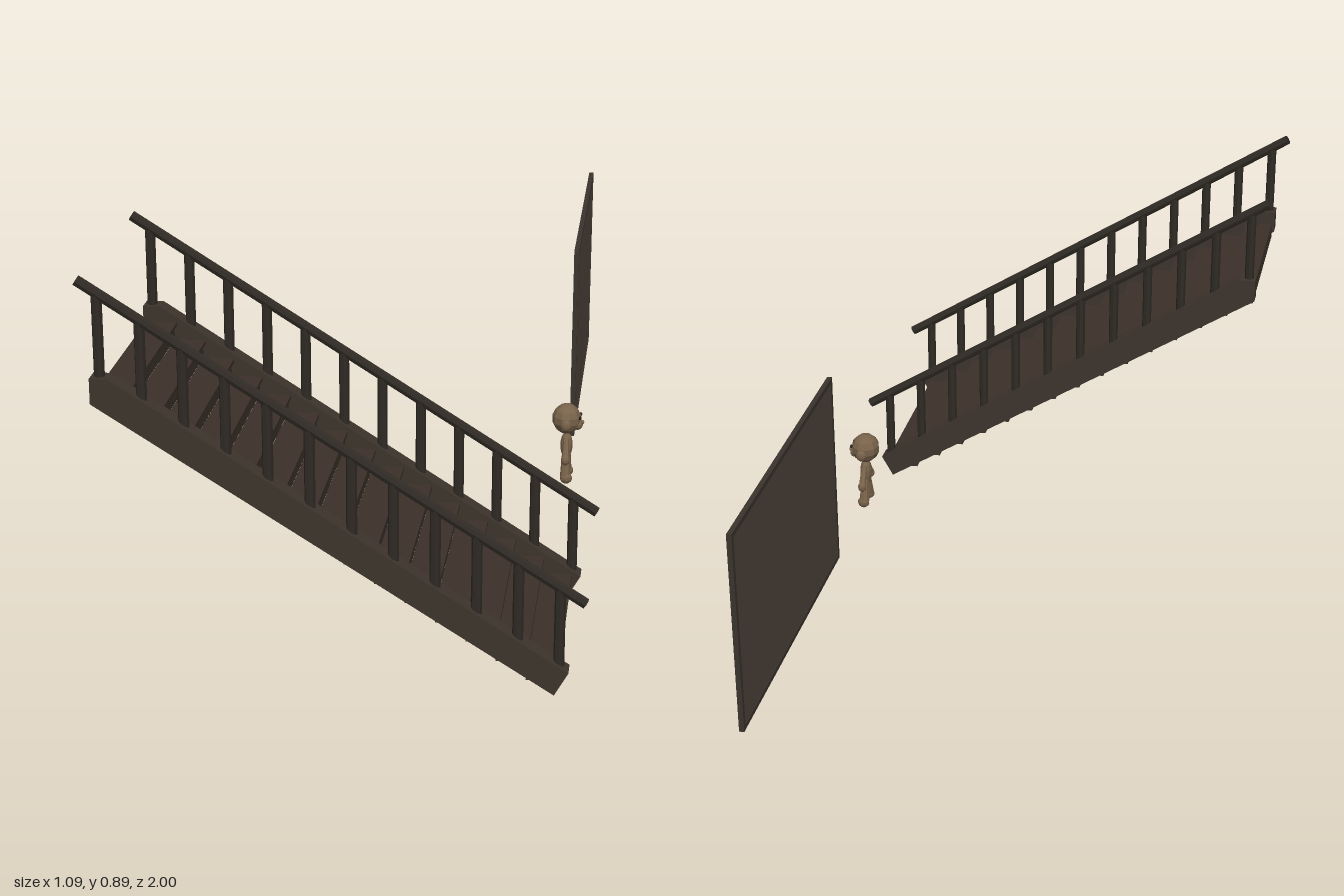
import * as THREE from 'three';

const mat = (color, flatShading = true) => {
  const m = new THREE.MeshStandardMaterial({ color });
  m.flatShading = flatShading;
  return m;
};
const WOOD = mat(0x3d342c), DARK = mat(0x2f2a24), TREAD = mat(0x3b3029);
const PANEL = mat(0x51473d), FRAME = mat(0x3b342d);
const BODY = mat(0x78624a), EYE = mat(0x2a2018);

function add(parent, name, geometry, material, x = 0, y = 0, z = 0) {
  const mesh = new THREE.Mesh(geometry, material);
  mesh.name = name;
  mesh.position.set(x, y, z);
  parent.add(mesh);
  return mesh;
}

// Tapered round bar between two points
function bar(parent, name, a, b, r0, r1, material, sides = 8) {
  const from = new THREE.Vector3(...a), to = new THREE.Vector3(...b);
  const dir = to.clone().sub(from);
  const mesh = add(parent, name, new THREE.CylinderGeometry(r1, r0, dir.length(), sides), material);
  mesh.position.copy(from).add(to).multiplyScalar(0.5);
  mesh.quaternion.setFromUnitVectors(new THREE.Vector3(0, 1, 0), dir.normalize());
  return mesh;
}

function createStairs() {
  const stairs = new THREE.Group();
  stairs.name = 'staircase';
  const sides = [0.486, 0.979], midZ = 0.7325, width = 0.47;

  // Fifteen solid steps, each with a thin overhanging tread
  for (let i = 0; i < 15; i++) {
    const x = -0.506 + i * 0.0656, bottom = 0.6 - i * 0.0414;
    add(stairs, 'riser', new THREE.BoxGeometry(0.0656, 0.032, width), WOOD, x + 0.0328, bottom + 0.016, midZ);
    add(stairs, 'tread', new THREE.BoxGeometry(0.0716, 0.009, width), TREAD, x + 0.0358, bottom + 0.0365, midZ);
  }

  // Sloping side boards
  const outline = new THREE.Shape([[-0.513, 0.62], [0.475, 0.004], [0.505, 0.058], [-0.473, 0.677], [-0.513, 0.677]]
    .map(([x, y]) => new THREE.Vector2(x, y)));
  const board = new THREE.ExtrudeGeometry(outline, { depth: 0.042, bevelEnabled: false });
  board.translate(0, 0, -0.021);

  const railY = x => 0.55 - x * 0.626;
  for (const z of sides) {
    add(stairs, 'stringer', board, WOOD, 0, 0, z);
    bar(stairs, 'handrail', [-0.537, railY(-0.537), z], [0.537, railY(0.537), z], 0.0125, 0.0125, DARK);
    for (let i = 0; i < 12; i++) {
      const x = -0.495 + i * 0.0889;
      bar(stairs, 'baluster', [x, 0.35 - x * 0.63, z], [x, railY(x), z], 0.0118, 0.0118, DARK);
    }
  }
  return stairs;
}

// Thin upright panel with a narrow border
function createPanel() {
  const panel = new THREE.Group();
  panel.name = 'wallPanel';
  const w = 0.788, h = 0.503, t = 0.012;
  add(panel, 'panelSheet', new THREE.BoxGeometry(0.008, h - t, w - t), PANEL);
  for (const s of [-1, 1]) {
    add(panel, 'frameRail', new THREE.BoxGeometry(0.012, t, w), FRAME, 0, s * (h - t) / 2, 0);
    add(panel, 'frameStile', new THREE.BoxGeometry(0.012, h - 2 * t, t), FRAME, 0, 0, s * (w - t) / 2);
  }
  panel.position.set(0.443, 0.3785, -0.606);
  return panel;
}

// Small figure facing +x
function createFigure() {
  const figure = new THREE.Group();
  figure.name = 'figure';
  const ball = (name, r, x, y, z, sx, sy, sz, material = BODY) => {
    const m = add(figure, name, new THREE.SphereGeometry(r, 10, 7), material, x, y, z);
    m.scale.set(sx, sy, sz);
    return m;
  };
  ball('head', 0.038, -0.001, 0.288, 0, 0.96, 1, 1.02);
  ball('muzzle', 0.018, 0.026, 0.274, 0, 0.75, 0.75, 1.1);
  ball('nose', 0.006, 0.038, 0.28, 0, 0.8, 0.8, 1);
  ball('torso', 0.022, 0, 0.218, 0, 0.7, 1.6, 0.85);
  for (const s of [-1, 1]) {
    ball('ear', 0.015, 0, 0.284, s * 0.042, 0.9, 1, 0.6);
    ball('eye', 0.005, 0.033, 0.295, s * 0.014, 0.7, 1, 1, EYE);
    bar(figure, 'arm', [0, 0.238, s * 0.016], [0, 0.198, s * 0.039], 0.007, 0.009, BODY);
    ball('hand', 0.011, 0, 0.193, s * 0.042, 1, 1.2, 0.9);
    bar(figure, 'leg', [0, 0.2, s * 0.01], [0, 0.145, s * 0.024], 0.01, 0.013, BODY);
    ball('foot', 0.014, 0.002, 0.14, s * 0.026, 1.1, 1.05, 0.9);
  }
  figure.position.set(0.444, 0, 0.083);
  return figure;
}

export function createModel() {
  const model = new THREE.Group();
  model.name = 'stairScene';
  model.add(createStairs(), createPanel(), createFigure());
  return model;
}
